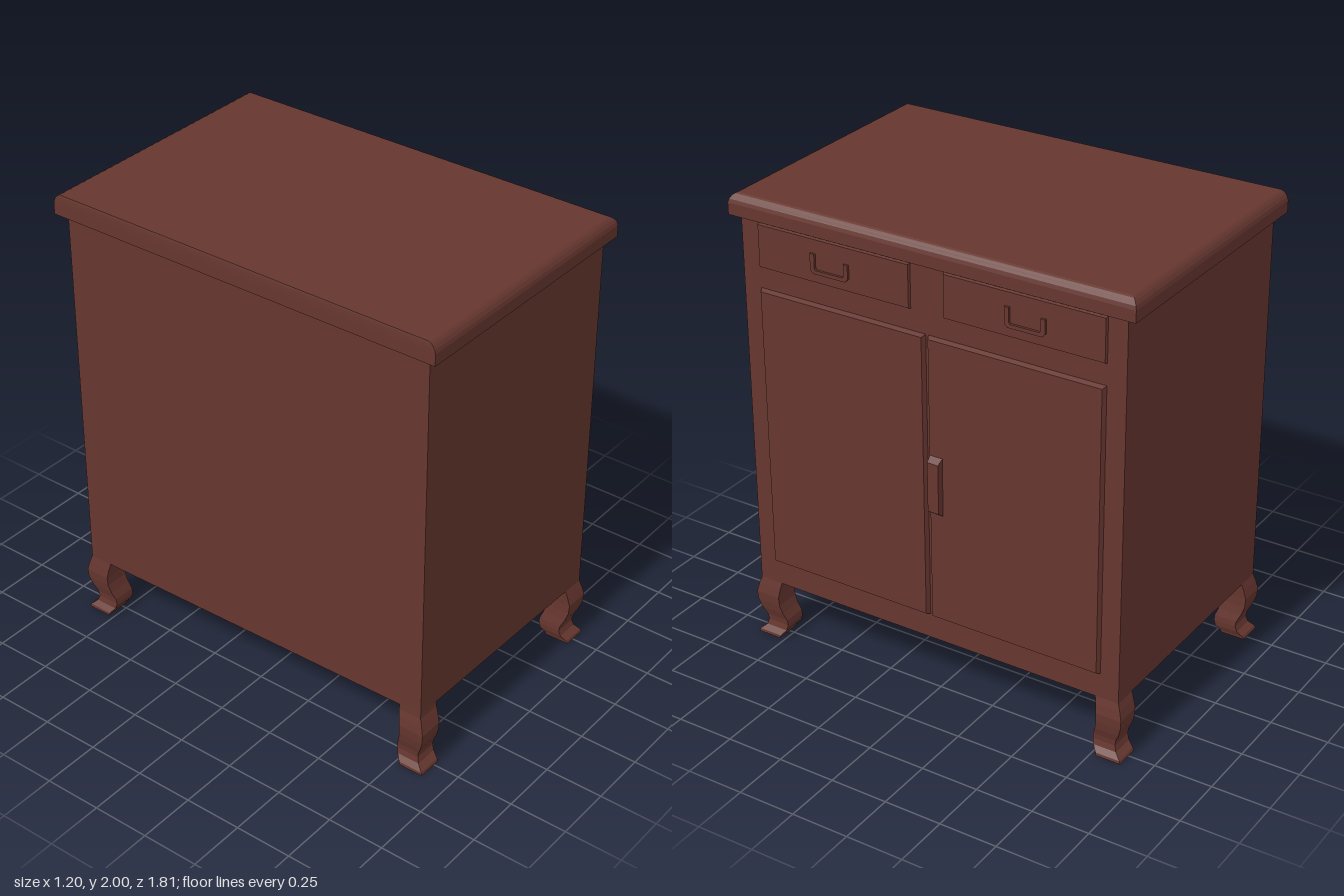
import * as THREE from 'three';

const wood = new THREE.MeshStandardMaterial({ color: 0x66362f });
wood.name = 'reddish brown wood';

function addMesh(parent, name, geometry) {
  const mesh = new THREE.Mesh(geometry, wood);
  mesh.name = name;
  parent.add(mesh);
  return mesh;
}

// Box between two corners; its +x face is drawn in by insetY and insetZ
function panel([x0, x1], [y0, y1], [z0, z1], insetY = 0, insetZ = 0) {
  const g = new THREE.BoxGeometry(x1 - x0, y1 - y0, z1 - z0);
  const p = g.attributes.position;
  for (let i = 0; i < p.count; i++) {
    if (p.getX(i) > 0) {
      p.setY(i, p.getY(i) - Math.sign(p.getY(i)) * insetY);
      p.setZ(i, p.getZ(i) - Math.sign(p.getZ(i)) * insetZ);
    }
  }
  g.translate((x0 + x1) / 2, (y0 + y1) / 2, (z0 + z1) / 2);
  g.computeVertexNormals();
  return g;
}

// Stack of rectangles [y, x0, x1, z0, z1] from bottom to top, closed at both ends
function loft(rings) {
  const pos = [];
  const corners = ([y, x0, x1, z0, z1]) => [[x0, y, z1], [x1, y, z1], [x1, y, z0], [x0, y, z0]];
  const quad = (a, b, c, d) => [a, b, c, a, c, d].forEach((v) => pos.push(...v));
  const sections = rings.map(corners);
  for (let i = 0; i < sections.length - 1; i++) {
    const lo = sections[i], hi = sections[i + 1];
    for (let k = 0; k < 4; k++) {
      const n = (k + 1) % 4;
      quad(lo[k], lo[n], hi[n], hi[k]);
    }
  }
  const [a, b, c, d] = sections[0];
  quad(d, c, b, a);
  quad(...sections[sections.length - 1]);
  const g = new THREE.BufferGeometry();
  g.setAttribute('position', new THREE.Float32BufferAttribute(pos, 3));
  g.computeVertexNormals();
  return g;
}

export function createModel() {
  const cabinet = new THREE.Group();
  cabinet.name = 'cabinet';

  // Carcass, with one lower back corner slightly raised
  const body = panel([-0.57, 0.555], [0.27, 1.915], [-0.862, 0.862]);
  const p = body.attributes.position;
  for (let i = 0; i < p.count; i++) {
    if (p.getX(i) < 0 && p.getY(i) < 1 && p.getZ(i) > 0) p.setY(i, 0.295);
  }
  body.computeVertexNormals();
  addMesh(cabinet, 'body', body);

  // Top board, rounded over on the door side and both ends, square at the back
  const edge = [[1.91, 0], [1.96, 0], [1.975, 0.004], [1.988, 0.012], [1.996, 0.021], [2, 0.03]];
  addMesh(cabinet, 'topBoard', loft(edge.map(([y, d]) =>
    [y, -0.6 + d * 0.15, 0.58 - d, -0.905 + d, 0.905 - d])));

  // Curved legs: [y, outward shift, half width]
  const curve = [
    [0, 0.018, 0.054], [0.012, 0.014, 0.054], [0.035, -0.008, 0.051], [0.06, -0.015, 0.05],
    [0.085, -0.012, 0.051], [0.12, 0.003, 0.053], [0.16, 0.014, 0.055],
    [0.2, 0.016, 0.056], [0.24, 0.008, 0.054], [0.27, 0, 0.052], [0.31, 0, 0.05],
  ];
  for (const sx of [-1, 1]) {
    for (const sz of [-1, 1]) {
      const leg = loft(curve.map(([y, shift, h]) => {
        const cx = (sx < 0 ? -0.518 : 0.502) + sx * shift * 0.6;
        const cz = sz * (0.81 + shift);
        return [y, cx - h, cx + h, cz - h, cz + h];
      }));
      addMesh(cabinet, `${sx < 0 ? 'back' : 'front'}Leg${sz < 0 ? 'A' : 'B'}`, leg);
    }
  }

  // Doors with bevelled edges
  addMesh(cabinet, 'doorA', panel([0.55, 0.574], [0.378, 1.623], [0.004, 0.782], 0.011, 0.011));
  addMesh(cabinet, 'doorB', panel([0.55, 0.574], [0.378, 1.623], [-0.782, -0.004], 0.011, 0.011));

  // Door pull with slanted ends
  addMesh(cabinet, 'doorPull', panel([0.57, 0.6], [0.862, 1.122], [-0.074, -0.016], 0.022, 0.004));

  // Drawer fronts and their U-shaped pulls
  const u = new THREE.Shape([
    [-0.088, 0.04], [-0.088, -0.028], [-0.074, -0.042], [0.074, -0.042], [0.088, -0.028], [0.088, 0.03],
    [0.068, 0.03], [0.068, -0.02], [0.062, -0.026], [-0.062, -0.026], [-0.068, -0.02], [-0.068, 0.04],
  ].map(([x, y]) => new THREE.Vector2(x, y)));
  for (const [z0, z1] of [[0.07, 0.782], [-0.782, -0.076]]) {
    const drawer = new THREE.Group();
    drawer.name = 'drawer';
    addMesh(drawer, 'drawerFront', panel([0.55, 0.565], [1.708, 1.898], [z0, z1], 0.006, 0.006));
    const pull = addMesh(drawer, 'drawerPull',
      new THREE.ExtrudeGeometry(u, { depth: 0.013, bevelEnabled: false }));
    pull.rotation.y = Math.PI / 2;
    pull.position.set(0.562, 1.795, (z0 + z1) / 2 + (z0 > 0 ? 0.009 : -0.013));
    cabinet.add(drawer);
  }

  return cabinet;
}
